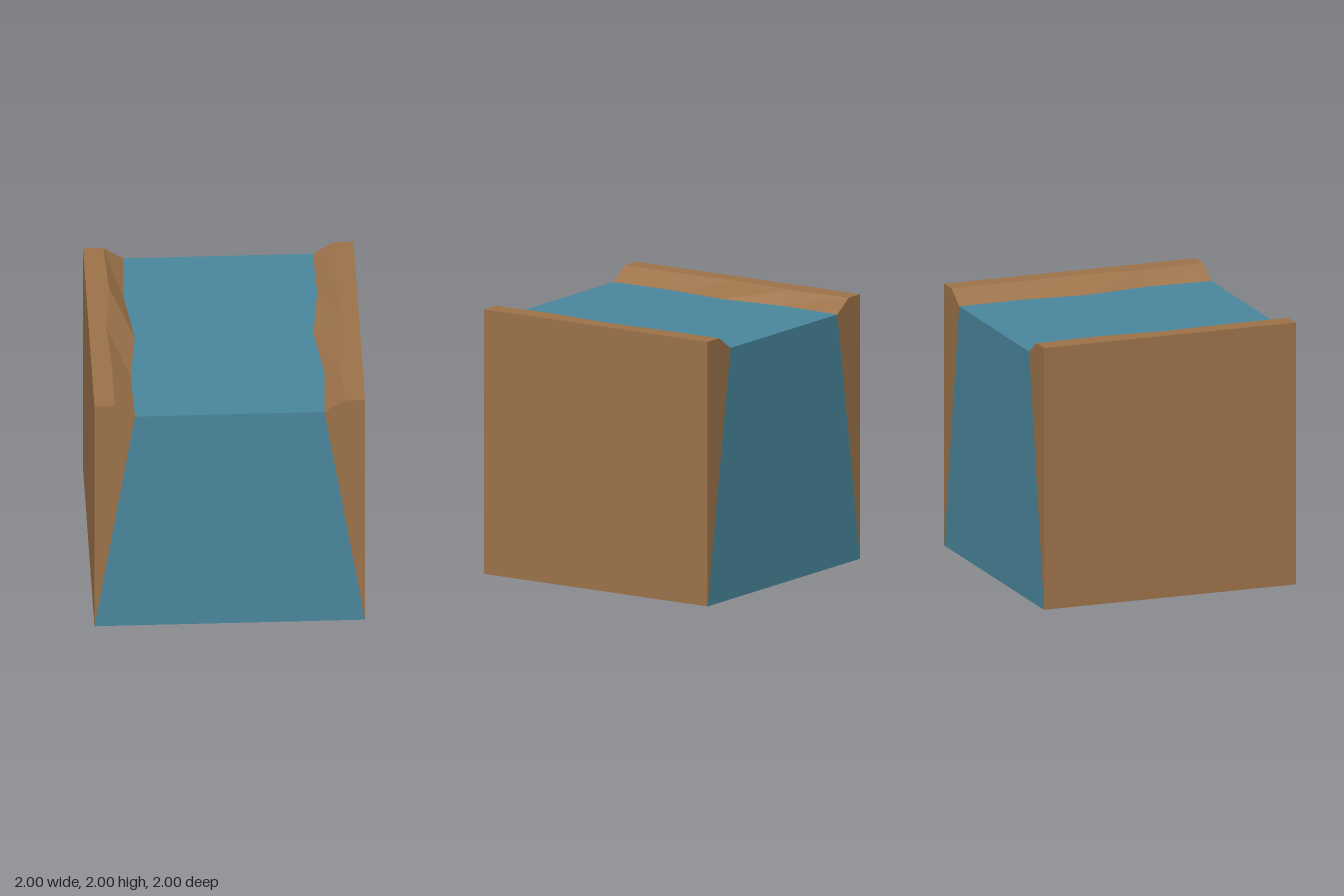
import * as THREE from 'three';

const earth = new THREE.MeshStandardMaterial({ color: 0x9d734a, side: THREE.DoubleSide });
earth.name = 'earth';
const water = new THREE.MeshStandardMaterial({ color: 0x4a879d, side: THREE.DoubleSide });
water.name = 'water';

// Bank stations from back to front: z, top edge x, waterline x
const stations = [
  [-1, -0.85, -0.70],
  [-0.5, -0.83, -0.72],
  [0, -0.87, -0.66],
  [0.5, -0.85, -0.71],
  [1, -0.85, -0.70],
];
const HEIGHT = 2;
const WATERLINE = 1.9;

// Flat-faced mesh from convex polygons, each split into a fan
function polygonMesh(name, polygons, material) {
  const positions = [];
  for (const p of polygons) {
    for (let i = 1; i < p.length - 1; i++) positions.push(...p[0], ...p[i], ...p[i + 1]);
  }
  const geometry = new THREE.BufferGeometry();
  geometry.setAttribute('position', new THREE.Float32BufferAttribute(positions, 3));
  geometry.computeVertexNormals();
  const mesh = new THREE.Mesh(geometry, material);
  mesh.name = name;
  return mesh;
}

// Quads joining consecutive cross-sections along z
function loft(sections) {
  const quads = [];
  for (let i = 0; i < sections.length - 1; i++) {
    const s = sections[i], t = sections[i + 1];
    for (let j = 0; j < s.length - 1; j++) quads.push([s[j], t[j], t[j + 1], s[j + 1]]);
  }
  return quads;
}

function createBank(name) {
  // Outer wall, flat rim and slope down to the water, closed at both ends
  const sections = stations.map(([z, rim, shore]) => [
    [-1, 0, z], [-1, HEIGHT, z], [rim, HEIGHT, z], [shore, WATERLINE, z],
  ]);
  const back = sections[0];
  const front = [...sections[sections.length - 1]].reverse();
  return polygonMesh(name, [...loft(sections), back, front], earth);
}

function createWater() {
  // The opposite shore is this one turned half way round
  const last = stations.length - 1;
  const surface = loft(stations.map(([z, , shore], i) => [
    [shore, WATERLINE, z], [-stations[last - i][2], WATERLINE, z],
  ]));
  const end = (z) => [[-1, 0, z], [1, 0, z], [0.7, WATERLINE, z], [-0.7, WATERLINE, z]];
  return polygonMesh('water', [...surface, end(1), end(-1).reverse()], water);
}

export function createModel() {
  const model = new THREE.Group();
  model.name = 'riverTile';
  const leftBank = createBank('leftBank');
  leftBank.rotation.y = Math.PI;
  model.add(createBank('rightBank'), leftBank, createWater());
  return model;
}
